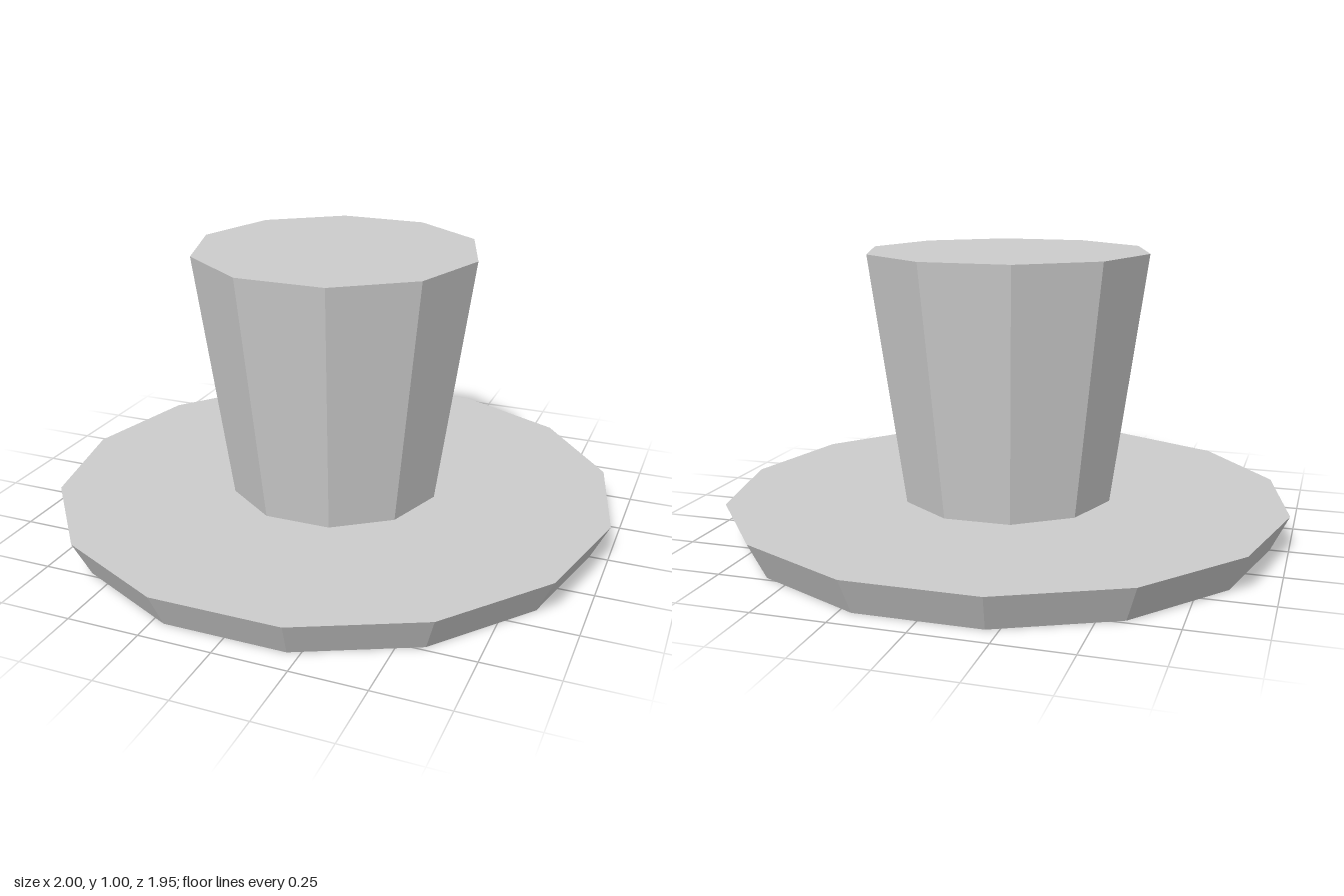
import * as THREE from 'three';

export function createModel() {
  const group = new THREE.Group();
  group.name = 'topHat';

  const grey = new THREE.MeshStandardMaterial({ color: 0xcccccc, flatShading: true });
  grey.name = 'grey';

  // Faceted tapered disc with a corner on the x axis, standing on baseY
  function taperedPrism(name, topRadius, bottomRadius, height, sides, baseY) {
    const geometry = new THREE.CylinderGeometry(
      topRadius, bottomRadius, height, sides, 1, false, Math.PI / 2);
    geometry.translate(0, baseY + height / 2, 0);
    const mesh = new THREE.Mesh(geometry, grey);
    mesh.name = name;
    group.add(mesh);
  }

  // Wide brim, flaring upward
  taperedPrism('brim', 1, 0.9375, 0.125, 14, 0);
  // Tall crown, wider at the top
  taperedPrism('crown', 0.5, 0.375, 0.875, 10, 0.125);

  return group;
}
